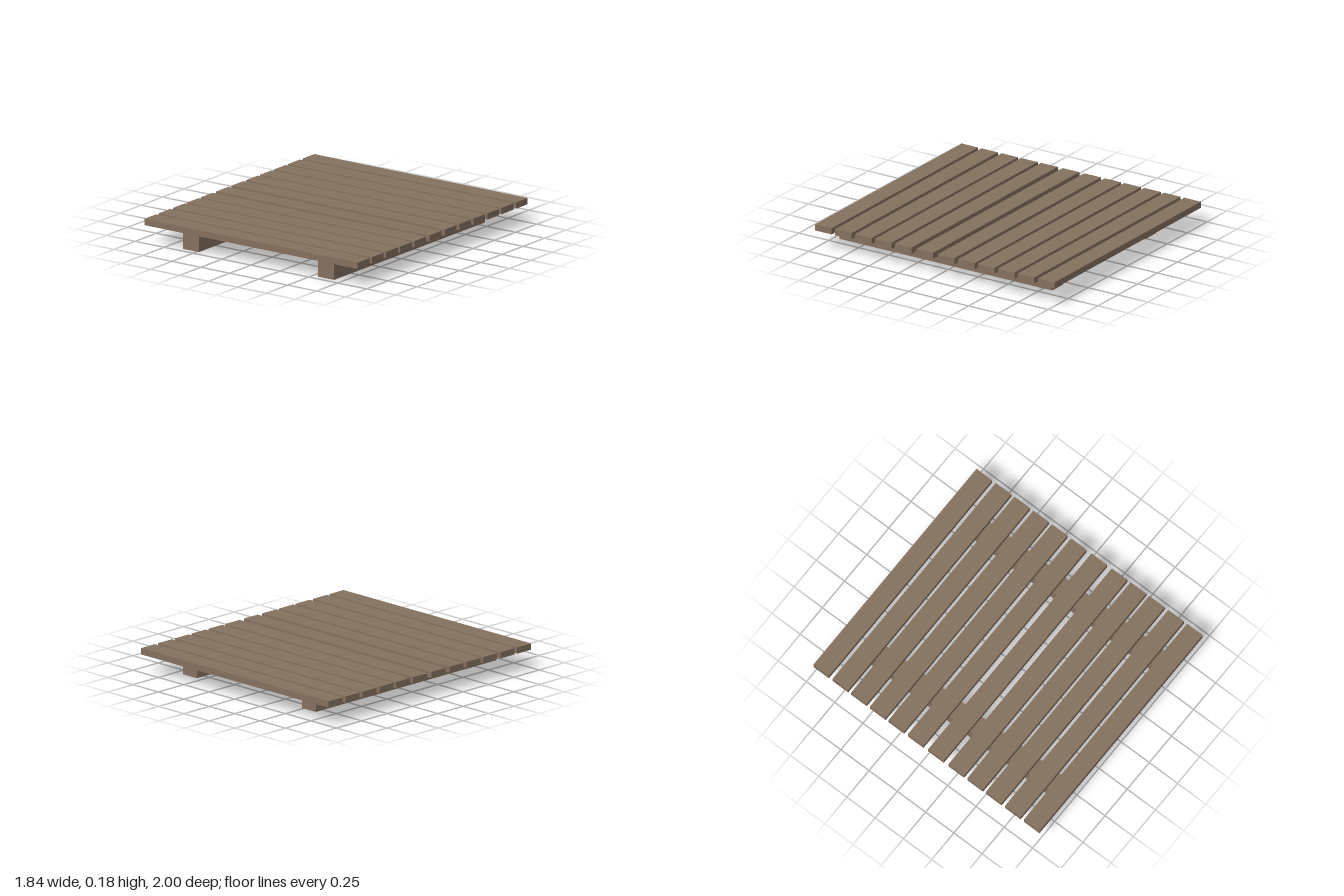
import * as THREE from 'three';

export function createModel() {
  const model = new THREE.Group();
  model.name = 'slattedPlatform';

  const wood = new THREE.MeshStandardMaterial({ color: 0x85715f });
  wood.name = 'weathered wood';

  const addBoard = (name, size, position) => {
    const mesh = new THREE.Mesh(new THREE.BoxGeometry(...size), wood);
    mesh.name = name;
    mesh.position.set(...position);
    model.add(mesh);
  };

  // Deck slats across the width, slightly unevenly spaced from back to front
  const slatZ = [-0.931, -0.761, -0.596, -0.429, -0.265, -0.095,
    0.085, 0.265, 0.432, 0.596, 0.765, 0.931];
  slatZ.forEach((z, i) => addBoard(`slat${i + 1}`, [1.844, 0.046, 0.138], [0, 0.154, z]));

  // Two bearers running front to back, just clear of the slats
  addBoard('rightBearer', [0.138, 0.12, 1.778], [-0.553, 0.06, 0.066]);
  addBoard('leftBearer', [0.138, 0.12, 1.778], [0.615, 0.06, 0.066]);

  return model;
}
